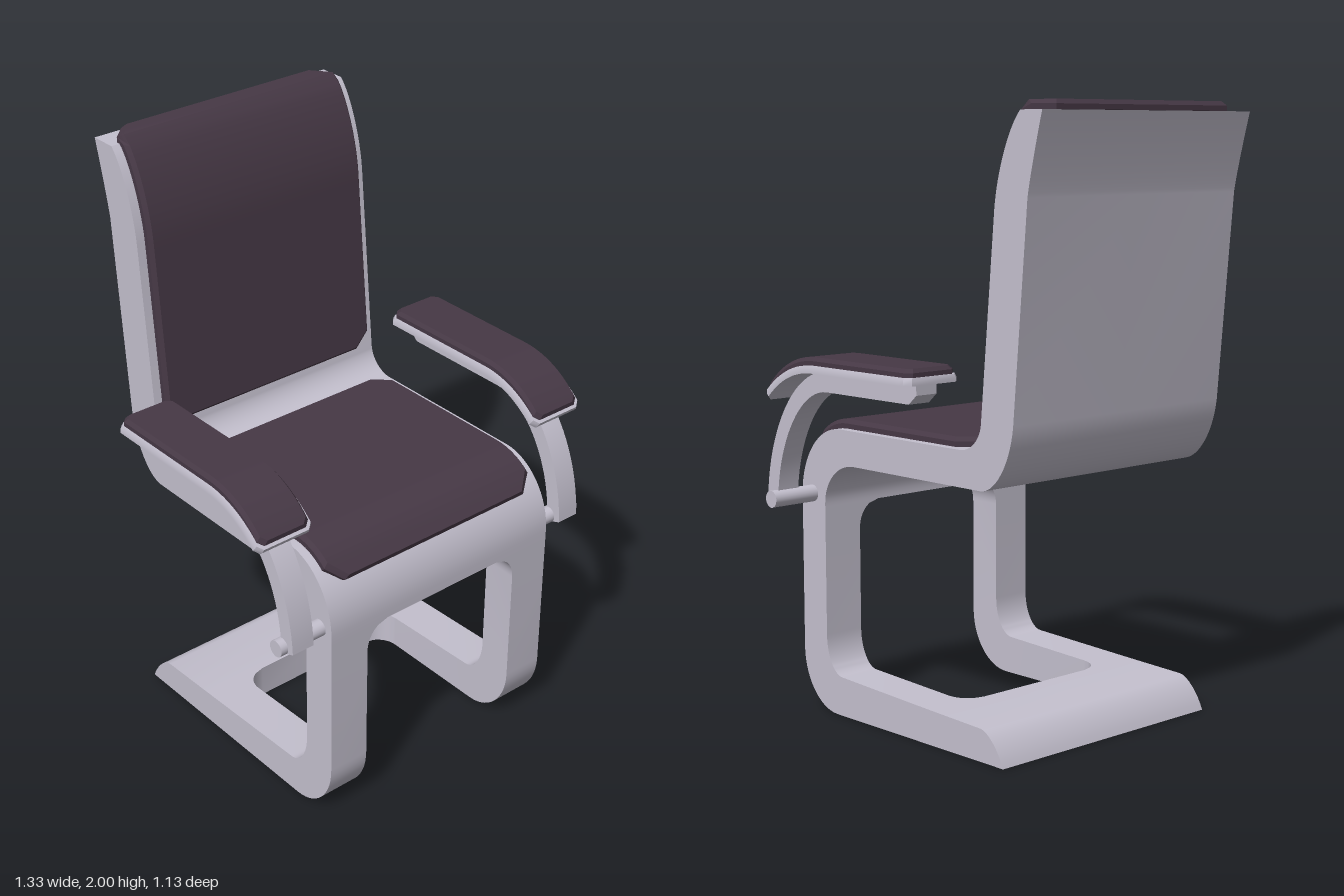
import * as THREE from 'three';
import { toCreasedNormals } from 'three/addons/utils/BufferGeometryUtils.js';

const frameGrey = new THREE.MeshStandardMaterial({ color: 0xc4c0ce });
const cushionPlum = new THREE.MeshStandardMaterial({ color: 0x463845 });

const V = (z, y) => new THREE.Vector2(z, y); // side-plane point

// Line between two points, or a rounded bend when a corner is given between them
function piece(pts) {
  const [p0, c, p1] = pts.map(p => V(...p));
  if (!p1) return new THREE.LineCurve(p0, c);
  return new THREE.CubicBezierCurve(p0, p0.clone().lerp(c, 0.55), p1.clone().lerp(c, 0.55), p1);
}

// Collects quads and turns them into a geometry with smooth curves and sharp edges
function quadBuilder() {
  const pos = [];
  return {
    quad(a, b, c, d) { for (const p of [a, b, c, a, c, d]) pos.push(...p); },
    build(crease) {
      const g = new THREE.BufferGeometry();
      g.setAttribute('position', new THREE.Float32BufferAttribute(pos, 3));
      return toCreasedNormals(g, crease);
    },
  };
}

function addMesh(parent, name, geo, mat) {
  const m = new THREE.Mesh(geo, mat);
  m.name = name;
  parent.add(m);
  return m;
}

// One bent panel: base, legs, seat and back, with an opening from base to legs
function frameGeometry() {
  const W = 0.455, H = 0.31, R = 0.08;
  const none = () => 0, full = () => H;
  const opening = t => H - R + R * Math.sqrt(Math.max(0, 1 - (1 - t) ** 2));
  const closing = t => opening(1 - t);
  // [outer/front side, inner/rear side, steps, half width of opening]
  const spans = [
    [[[-0.4, 0], [-0.3, 0]], [[-0.4, 0], [-0.36, 0.1], [-0.3, 0.105]], 8, none],
    [[[-0.3, 0], [-0.07, 0]], [[-0.3, 0.105], [-0.07, 0.113]], 1, none],
    [[[-0.07, 0], [0.01, 0]], [[-0.07, 0.113], [0.01, 0.116]], 8, opening],
    [[[0.01, 0], [0.4, 0]], [[0.01, 0.116], [0.37, 0.13]], 1, full],
    [[[0.4, 0], [0.57, 0], [0.57, 0.2]], [[0.37, 0.13], [0.45, 0.13], [0.45, 0.26]], 14, full],
    [[[0.57, 0.2], [0.57, 0.6]], [[0.45, 0.26], [0.45, 0.6]], 1, full],
    [[[0.57, 0.6], [0.57, 0.69]], [[0.45, 0.6], [0.45, 0.69]], 8, closing],
    [[[0.57, 0.69], [0.57, 0.72]], [[0.45, 0.69], [0.45, 0.7]], 1, none],
    [[[0.57, 0.72], [0.57, 0.955], [0.37, 0.955]], [[0.45, 0.7], [0.45, 0.84], [0.3, 0.84]], 16, none],
    [[[0.37, 0.955], [-0.21, 0.955]], [[0.3, 0.84], [-0.3, 0.84]], 1, none],
    [[[-0.21, 0.955], [-0.295, 0.955], [-0.305, 1.04]], [[-0.3, 0.84], [-0.42, 0.84], [-0.445, 1.05]], 14, none],
    [[[-0.305, 1.04], [-0.365, 1.68]], [[-0.445, 1.05], [-0.505, 1.72]], 1, none],
    [[[-0.365, 1.68], [-0.385, 1.88], [-0.475, 1.97]], [[-0.505, 1.72], [-0.518, 1.8], [-0.565, 1.97]], 12, none],
  ];
  const st = [];
  for (const [a, b, n, h] of spans) {
    const ca = piece(a), cb = piece(b);
    for (let i = 0; i <= n; i++) st.push({ a: ca.getPoint(i / n), b: cb.getPoint(i / n), h: h(i / n) });
  }
  const q = quadBuilder();
  const P = (x, p) => [x, p.y, p.x];
  for (let i = 0; i + 1 < st.length; i++) {
    const s = st[i], e = st[i + 1];
    if (s.a.distanceTo(e.a) < 1e-6 && s.h === e.h) continue;
    for (const k of [1, -1]) {
      // flip the corner order on the mirrored half
      const quad = (...c) => q.quad(...(k > 0 ? c : c.reverse()));
      if (s.a.distanceTo(e.a) > 1e-6) {
        quad(P(k * s.h, s.a), P(k * W, s.a), P(k * W, e.a), P(k * e.h, e.a));
        quad(P(k * e.h, e.b), P(k * W, e.b), P(k * W, s.b), P(k * s.h, s.b));
        quad(P(k * W, s.a), P(k * W, s.b), P(k * W, e.b), P(k * W, e.a));
      }
      if (s.h + e.h > 0) quad(P(k * s.h, s.a), P(k * e.h, e.a), P(k * e.h, e.b), P(k * s.h, s.b));
    }
  }
  const t = st[st.length - 1];
  q.quad(P(-W, t.a), P(W, t.a), P(W, t.b), P(-W, t.b));
  return q.build(0.6);
}

// Padded strip laid along a side-plane path, with cut corners and a bevelled rim
function slabGeometry(curves, halfWidth, thick, cut, bevel) {
  const path = new THREE.CurvePath();
  curves.forEach(c => path.add(c));
  path.arcLengthDivisions = 400;
  const L = path.getLength(), N = 36, us = [0];
  for (let i = 0; i <= N; i++) us.push((cut + (L - 2 * cut) * i / N) / L);
  us.push(1);
  const layers = [[0, 0], [0, thick * 0.55], [bevel, thick]].map(([inset, h]) =>
    us.map((u, i) => {
      const v = (inset + (L - 2 * inset) * u) / L;
      const p = path.getPointAt(v);
      const d = path.getPointAt(Math.min(1, v + 0.012)).sub(path.getPointAt(Math.max(0, v - 0.012))).normalize();
      const w = halfWidth - inset - (i === 0 || i === us.length - 1 ? cut : 0);
      const y = p.y + d.x * h, z = p.x - d.y * h;
      return [[-w, y, z], [w, y, z]];
    }));
  const q = quadBuilder();
  const loops = layers.map(l => [...l.map(s => s[0]), ...l.map(s => s[1]).reverse()]);
  for (let k = 0; k < 2; k++) {
    const lo = loops[k], up = loops[k + 1];
    lo.forEach((p, j) => {
      const n = (j + 1) % lo.length;
      q.quad(p, lo[n], up[n], up[j]);
    });
  }
  for (let i = 0; i + 1 < us.length; i++) {
    const [b, , t] = layers;
    q.quad(t[i][0], t[i + 1][0], t[i + 1][1], t[i][1]);
    q.quad(b[i][1], b[i + 1][1], b[i + 1][0], b[i][0]);
  }
  return q.build(0.5);
}

// Curved bracket below the arm pad
function bracketGeometry() {
  const s = new THREE.Shape();
  s.moveTo(-0.18, 1.165);
  s.lineTo(-0.18, 1.13);
  s.lineTo(-0.145, 1.1);
  s.lineTo(0.25, 1.1);
  s.bezierCurveTo(0.38, 1.1, 0.5, 0.93, 0.51, 0.73);
  s.lineTo(0.525, 0.705);
  s.lineTo(0.565, 0.72);
  s.bezierCurveTo(0.555, 0.95, 0.42, 1.165, 0.24, 1.165);
  const g = new THREE.ExtrudeGeometry(s, { depth: 0.08, bevelEnabled: false, curveSegments: 20 });
  g.translate(0, 0, -0.04).rotateY(-Math.PI / 2);
  return toCreasedNormals(g, 0.5);
}

function armPath(y, z0, z1) {
  const d = y - 1.165;
  return [
    new THREE.LineCurve(V(z0, y), V(0.24, y)),
    new THREE.CubicBezierCurve(V(0.24, y), V(0.33, y), V(0.41, 1.13 + d), V(z1, 1.06 + d * 0.8)),
  ];
}

export function createModel() {
  const model = new THREE.Group();
  model.name = 'cantileverChair';
  addMesh(model, 'frame', frameGeometry(), frameGrey);

  // Seat pad, rolling over the front edge
  addMesh(model, 'seatCushion', slabGeometry([
    new THREE.LineCurve(V(-0.21, 0.955), V(0.37, 0.955)),
    new THREE.CubicBezierCurve(V(0.37, 0.955), V(0.425, 0.955), V(0.475, 0.9285), V(0.511, 0.886)),
    new THREE.LineCurve(V(0.511, 0.886), V(0.522, 0.868)),
  ], 0.425, 0.03, 0.052, 0.012), cushionPlum);

  // Back pad, wrapping over the top edge
  addMesh(model, 'backCushion', slabGeometry([
    new THREE.LineCurve(V(-0.54, 1.971), V(-0.475, 1.971)),
    piece([[-0.475, 1.971], [-0.385, 1.88], [-0.365, 1.68]]),
    new THREE.LineCurve(V(-0.365, 1.68), V(-0.307, 1.06)),
  ], 0.425, 0.03, 0.052, 0.012), cushionPlum);

  // Arms
  const plate = slabGeometry(armPath(1.165, -0.215, 0.478), 0.105, 0.024, 0.018, 0.004);
  const pad = slabGeometry(armPath(1.188, -0.208, 0.475), 0.095, 0.027, 0.018, 0.01);
  const bracket = bracketGeometry();
  const rod = new THREE.CylinderGeometry(0.028, 0.028, 0.18, 20).rotateZ(Math.PI / 2);
  for (const [side, k] of [['left', 1], ['right', -1]]) {
    const arm = new THREE.Group();
    arm.name = side + 'Arm';
    arm.position.x = k * 0.56;
    addMesh(arm, 'armPlate', plate, frameGrey);
    addMesh(arm, 'armCushion', pad, cushionPlum);
    addMesh(arm, 'armBracket', bracket, frameGrey);
    addMesh(arm, 'armRod', rod, frameGrey).position.set(-k * 0.025, 0.728, 0.515);
    model.add(arm);
  }
  return model;
}
